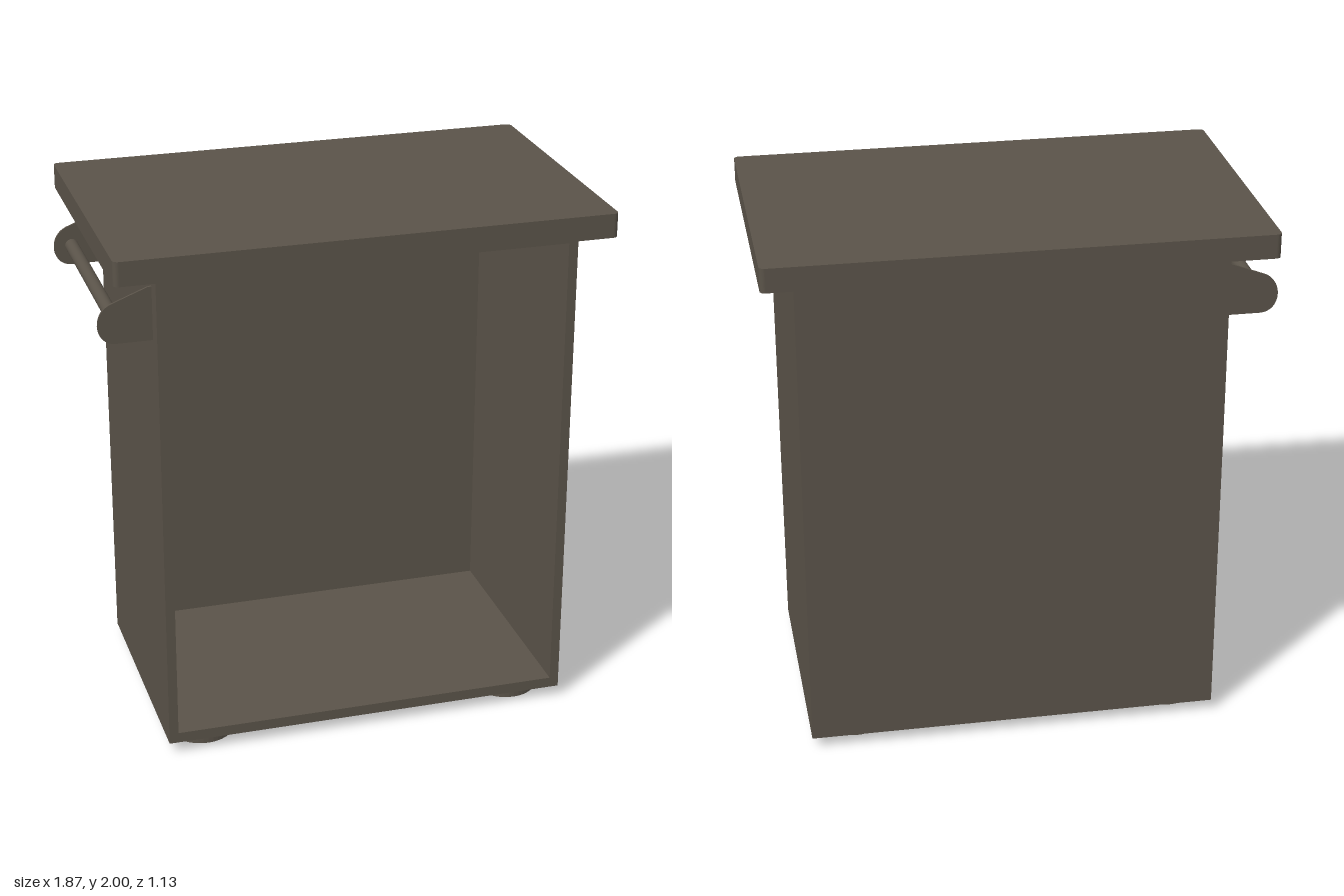
import * as THREE from 'three';

const material = new THREE.MeshStandardMaterial({ color: 0x5a5349 });

function add(parent, name, geometry, x = 0, y = 0, z = 0) {
  const mesh = new THREE.Mesh(geometry, material);
  mesh.name = name;
  mesh.position.set(x, y, z);
  parent.add(mesh);
  return mesh;
}

// Rectangle outline with optional rounded corners
function rectangle(Type, x0, y0, x1, y1, r = 0) {
  const s = new Type();
  if (!r) {
    s.moveTo(x0, y0).lineTo(x1, y0).lineTo(x1, y1).lineTo(x0, y1).closePath();
    return s;
  }
  s.absarc(x1 - r, y1 - r, r, 0, Math.PI / 2);
  s.absarc(x0 + r, y1 - r, r, Math.PI / 2, Math.PI);
  s.absarc(x0 + r, y0 + r, r, Math.PI, Math.PI * 1.5);
  s.absarc(x1 - r, y0 + r, r, Math.PI * 1.5, Math.PI * 2);
  s.closePath();
  return s;
}

export function createModel() {
  const group = new THREE.Group();
  group.name = 'kitchenCart';

  // Open-fronted cabinet: a frame of four walls, closed by a back panel
  const cabinet = new THREE.Group();
  cabinet.name = 'cabinet';
  group.add(cabinet);
  const frame = rectangle(THREE.Shape, -0.74, 0.045, 0.81, 1.91);
  frame.holes.push(rectangle(THREE.Path, -0.705, 0.085, 0.775, 1.875));
  add(cabinet, 'cabinetWalls',
    new THREE.ExtrudeGeometry(frame, { depth: 0.97, bevelEnabled: false }), 0, 0, -0.485);
  add(cabinet, 'backPanel', new THREE.BoxGeometry(1.48, 1.79, 0.035), 0.035, 0.98, -0.4675);

  // Worktop with slightly rounded corners
  const top = new THREE.ExtrudeGeometry(
    rectangle(THREE.Shape, -0.9, -0.565, 0.93, 0.565, 0.02),
    { depth: 0.09, bevelEnabled: false, curveSegments: 6 });
  top.rotateX(-Math.PI / 2);
  add(group, 'worktop', top, 0, 1.91, 0);

  // Stepped round feet
  const footProfile = [[0, 0], [0.085, 0], [0.085, 0.013], [0.122, 0.015], [0.122, 0.045], [0, 0.045]];
  const footGeometry = new THREE.LatheGeometry(
    footProfile.map(([r, y]) => new THREE.Vector2(r, y)), 40).toNonIndexed();
  footGeometry.computeVertexNormals();
  for (const x of [-0.587, 0.635]) {
    for (const z of [-0.322, 0.348]) add(group, 'foot', footGeometry, x, 0, z);
  }

  // Towel rail: two thin side brackets with a round bar between them
  const rail = new THREE.Group();
  rail.name = 'towelRail';
  group.add(rail);
  const bracket = new THREE.Shape();
  bracket.moveTo(-0.74, 1.645);
  bracket.lineTo(-0.74, 1.845);
  bracket.lineTo(-0.755, 1.843);
  bracket.lineTo(-0.885, 1.793);
  bracket.bezierCurveTo(-0.915, 1.78, -0.935, 1.752, -0.935, 1.715);
  bracket.bezierCurveTo(-0.935, 1.675, -0.91, 1.645, -0.87, 1.645);
  bracket.closePath();
  const bracketGeometry = new THREE.ExtrudeGeometry(bracket,
    { depth: 0.008, bevelEnabled: false, curveSegments: 12 });
  for (const z of [-0.427, 0.408]) add(rail, 'railBracket', bracketGeometry, 0, 0, z);
  const bar = new THREE.CylinderGeometry(0.025, 0.025, 0.83, 24);
  bar.rotateX(Math.PI / 2);
  add(rail, 'railBar', bar, -0.868, 1.72, -0.006);

  return group;
}
